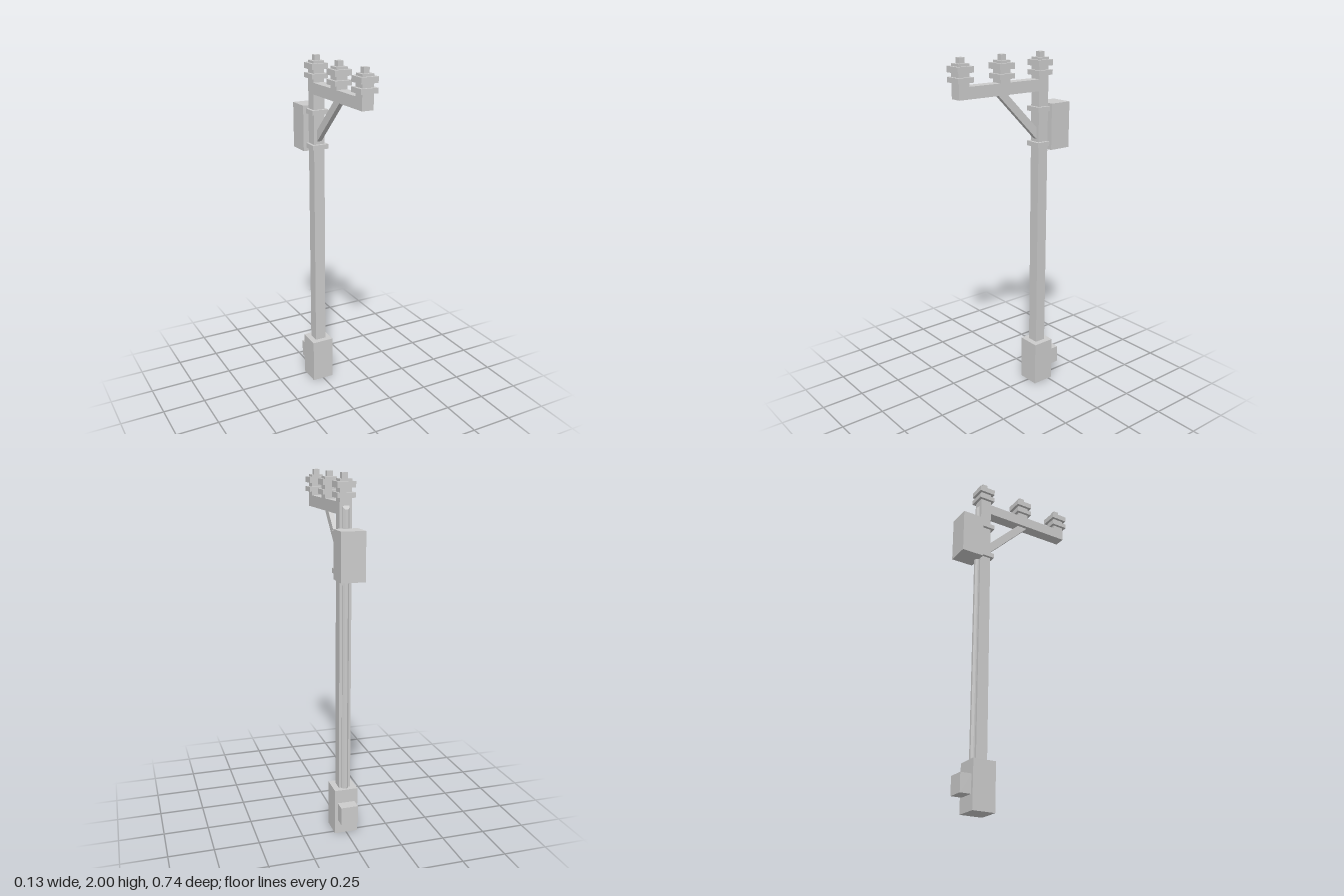
import * as THREE from 'three';

export function createModel() {
  const model = new THREE.Group();
  const material = new THREE.MeshStandardMaterial({ color: 0xcccccc, flatShading: true });
  const POLE_Z = -0.208;

  function add(name, geometry, parent = model) {
    const mesh = new THREE.Mesh(geometry, material);
    mesh.name = name;
    parent.add(mesh);
    return mesh;
  }

  // Box centred on x, given by its width and its y and z ranges
  function box(name, width, y0, y1, z0, z1, parent) {
    const mesh = add(name, new THREE.BoxGeometry(width, y1 - y0, z1 - z0), parent);
    mesh.position.set(0, (y0 + y1) / 2, (z0 + z1) / 2);
    return mesh;
  }

  // Footing, meter box and pole
  box('base', 0.132, 0, 0.264, -0.274, -0.142);
  box('meterBox', 0.098, 0.083, 0.186, -0.337, -0.274);
  box('pole', 0.066, 0.264, 1.854, POLE_Z - 0.033, POLE_Z + 0.033);

  // Cable conduit on the back of the pole, top cut on a slope
  const conduitGeo = new THREE.CylinderGeometry(0.0195, 0.0195, 1.556, 8);
  conduitGeo.rotateY(Math.PI / 8);
  const pos = conduitGeo.attributes.position;
  for (let i = 0; i < pos.count; i++) {
    if (pos.getY(i) > 0) pos.setY(i, pos.getY(i) + 0.015 + pos.getZ(i));
  }
  conduitGeo.computeVertexNormals();
  add('conduit', conduitGeo).position.set(0, 0.264 + 0.778, -0.241);

  // Transformer box and its pole clamps
  box('transformerBox', 0.132, 1.46, 1.72, -0.372, -0.241);
  for (const y of [1.48, 1.677]) box('clamp', 0.098, y, y + 0.027, -0.241, -0.158);

  // Cross arm reaching forward
  box('crossArm', 0.066, 1.79, 1.854, POLE_Z + 0.033, 0.355);

  // Diagonal brace, drawn in the (z, y) plane and turned to face sideways
  const braceShape = new THREE.Shape([
    [0.093, 1.79], [0.03, 1.79], [-0.175, 1.588], [-0.175, 1.524],
  ].map(([z, y]) => new THREE.Vector2(z, y)));
  const braceGeo = new THREE.ExtrudeGeometry(braceShape, { depth: 0.028, bevelEnabled: false });
  braceGeo.translate(0, 0, -0.014).rotateY(-Math.PI / 2);
  add('brace', braceGeo);

  // Three insulators: core, two skirts and a tip
  for (const z of [POLE_Z, 0.057, 0.322]) {
    const insulator = new THREE.Group();
    insulator.name = 'insulator';
    insulator.position.z = z;
    model.add(insulator);
    const layers = [
      ['core', 0.033, 1.854, 1.97],
      ['lowerSkirt', 0.049, 1.875, 1.902],
      ['upperSkirt', 0.049, 1.925, 1.957],
      ['tip', 0.0165, 1.97, 2.0],
    ];
    for (const [name, half, y0, y1] of layers) box(name, half * 2, y0, y1, -half, half, insulator);
  }

  return model;
}
